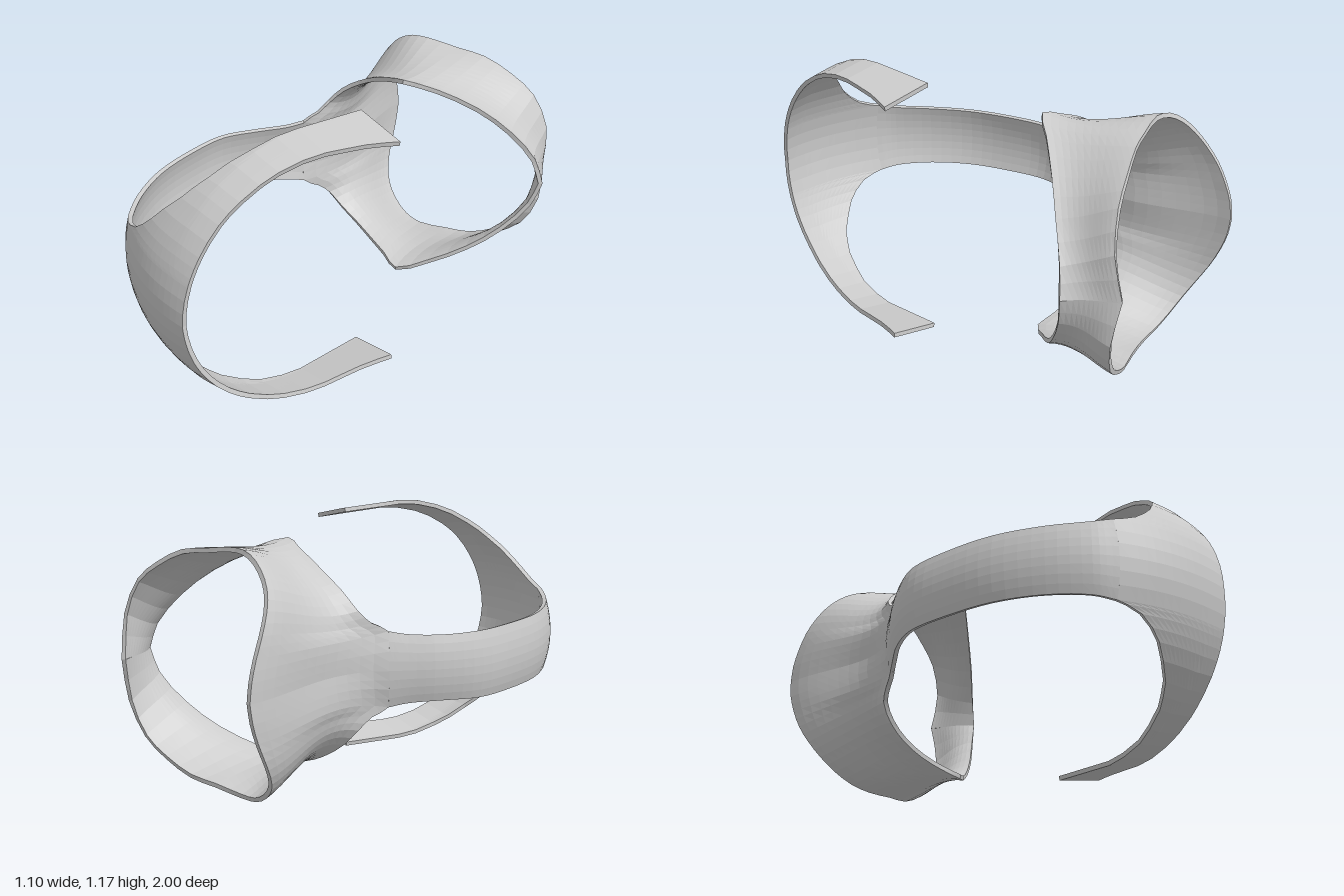
import * as THREE from 'three';

const MID = 0.583;        // height of the mirror plane
const THICK = 0.019;      // sheet thickness
const V = (x, y, z) => new THREE.Vector3(x, y, z);

// Linear lookup in a list of [key, value] pairs
function table(rows, k) {
  for (let i = 1; i < rows.length; i++) {
    const [k0, v0] = rows[i - 1], [k1, v1] = rows[i];
    if (k <= k1) return v0 + (v1 - v0) * Math.max(0, (k - k0) / (k1 - k0));
  }
  return rows[rows.length - 1][1];
}

// Thickened sheet from a grid of outer points: grid[i][j]
function shell(grid) {
  const m = grid.length, n = grid[0].length, count = m * n;
  const top = [], id = (i, j) => i * n + j;
  for (let i = 0; i < m - 1; i++) for (let j = 0; j < n - 1; j++) {
    const a = id(i, j), b = id(i + 1, j), c = id(i + 1, j + 1), d = id(i, j + 1);
    top.push(a, b, c, a, c, d);
  }
  const pts = grid.flat();
  const outer = new THREE.BufferGeometry().setFromPoints(pts);
  outer.setIndex(top);
  outer.computeVertexNormals();
  const nor = outer.attributes.normal;
  const inner = pts.map((p, i) => p.clone().addScaledVector(V(nor.getX(i), nor.getY(i), nor.getZ(i)), -THICK));

  const index = [...top];
  for (let k = 0; k < top.length; k += 3) index.push(top[k] + count, top[k + 2] + count, top[k + 1] + count);
  // rim around the border
  const rim = [];
  for (let i = 0; i < m - 1; i++) rim.push(id(i, 0));
  for (let j = 0; j < n - 1; j++) rim.push(id(m - 1, j));
  for (let i = m - 1; i > 0; i--) rim.push(id(i, n - 1));
  for (let j = n - 1; j > 0; j--) rim.push(id(0, j));
  rim.forEach((p, k) => {
    const q = rim[(k + 1) % rim.length];
    index.push(q, p, p + count, q, p + count, q + count);
  });
  const geo = new THREE.BufferGeometry().setFromPoints([...pts, ...inner]);
  geo.setIndex(index);
  geo.computeVertexNormals();
  return geo;
}

// Front cuff surface: |p| 0..1 is a quarter ellipse, beyond 1 the straight tip
const JOIN_X = -0.1, JOIN_P = 0.192;
function cuffPoint(x, p) {
  const q = Math.abs(p), a = Math.min(q, 1) * Math.PI / 2, ext = Math.max(0, q - 1);
  const bow = 1 - 0.6 * (x - 0.25) ** 2;
  const half = (MID - 0.2 * Math.max(0, x - 0.32)) * Math.sin(a) - 0.035 * ext;
  return V(x, MID + Math.sign(p) * half, 0.38 + (bow - 0.38) * Math.cos(a) - 0.62 * ext);
}

function cuffGrid() {
  const left = [[0, JOIN_X], [JOIN_P, JOIN_X], [0.205, -0.06], [0.233, 0], [0.28, 0.055], [0.33, 0.1],
    [0.48, 0.2], [0.6, 0.25], [0.79, 0.296], [1, 0.316], [1.5, 0.318]];
  const right = [[0, 0.405], [0.5, 0.428], [0.77, 0.455], [1, 0.483], [1.12, 0.493], [1.28, 0.508], [1.4, 0.528], [1.5, 0.548]];
  const half = [0.064, 0.128, JOIN_P, 0.205, 0.233, 0.28, 0.33, 0.4, 0.48, 0.54, 0.6, 0.7, 0.79, 0.9, 1, 1.12, 1.28, 1.4, 1.5];
  const ps = [...half.map(p => -p).reverse(), 0, ...half];
  return ps.map(p => {
    const l = table(left, Math.abs(p)), r = table(right, Math.abs(p));
    return Array.from({ length: 15 }, (_, j) => cuffPoint(r + (l - r) * j / 14, p));
  });
}

// Side strap: plan path [x, z, half width], gently curved across its width
function strapGrid() {
  const path = [[-0.19, 0.875, 0.157], [-0.32, 0.755, 0.147], [-0.44, 0.58, 0.144], [-0.515, 0.37, 0.143],
    [-0.55, 0.17, 0.141], [-0.508, 0, 0.137], [-0.445, -0.13, 0.143], [-0.41, -0.2, 0.157]];
  const grid = [];
  for (let k = -4; k <= 4; k++) {
    const v = k / 4, line = [cuffPoint(JOIN_X, v * JOIN_P)];
    path.forEach(([x, z, h], i) => {
      const a = path[Math.max(0, i - 1)], b = path[Math.min(path.length - 1, i + 1)];
      const dir = V(b[0] - a[0], 0, b[1] - a[1]).normalize();
      const drop = 0.024 * v * v;
      line.push(V(x - dir.z * drop, MID + v * h, z + dir.x * drop));
    });
    const curve = new THREE.CatmullRomCurve3(line);
    grid.push(curve.getPoints(32));
  }
  return grid;
}

// Rear ring: upper half of its two edges, from the strap round to the far side
function ringGrid(strap) {
  const front = [4, 6, 8].map(k => strap[k][32].clone()).concat([
    [-0.365, 0.777, -0.255], [-0.345, 0.828, -0.305], [-0.285, 0.9, -0.337], [-0.2, 0.96, -0.36],
    [-0.1, 1.01, -0.368], [0, 1.045, -0.365], [0.1, 1.073, -0.355], [0.2, 1.03, -0.465],
    [0.32, 0.945, -0.6], [0.42, 0.835, -0.71], [0.495, 0.7, -0.8], [0.525, MID, -0.83]].map(p => V(...p)));
  const rear = [
    [-0.508, MID, -0.88], [-0.507, 0.66, -0.87], [-0.498, 0.74, -0.845], [-0.483, 0.82, -0.81],
    [-0.45, 0.9, -0.77], [-0.4, 0.97, -0.74], [-0.33, 1.03, -0.725], [-0.24, 1.075, -0.72],
    [-0.14, 1.09, -0.73], [0, 1.075, -0.78], [0.12, 1.06, -0.83], [0.24, 1.0, -0.885],
    [0.34, 0.92, -0.93], [0.4, 0.77, -0.97], [0.38, MID, -1]].map(p => V(...p));
  const steps = 28, rows = 12;
  const f = new THREE.CatmullRomCurve3(front).getPoints(steps);
  const r = new THREE.CatmullRomCurve3(rear).getPoints(steps);
  const upper = f.map((a, i) => {
    // waisted between the edges, most strongly beside the strap
    const inset = 0.02 + 0.06 * Math.max(0, 1 - i / 16);
    return Array.from({ length: rows + 1 }, (_, j) => {
      const t = j / rows, p = a.clone().lerp(r[i], t);
      const radial = V(p.x, p.y - MID, 0).normalize();
      return p.addScaledVector(radial, -inset * 6.75 * t * (1 - t) ** 2);
    });
  });
  const lower = upper.slice(1).reverse().map(col => col.map(p => V(p.x, 2 * MID - p.y, p.z)));
  return [...lower, ...upper];
}

export function createModel() {
  const group = new THREE.Group();
  const material = new THREE.MeshStandardMaterial({ color: 0xcccccc, flatShading: true });
  const strap = strapGrid();
  const parts = { frontCuff: cuffGrid(), sideStrap: strap, rearRing: ringGrid(strap) };
  for (const [name, grid] of Object.entries(parts)) {
    const mesh = new THREE.Mesh(shell(grid), material);
    mesh.name = name;
    group.add(mesh);
  }
  return group;
}
